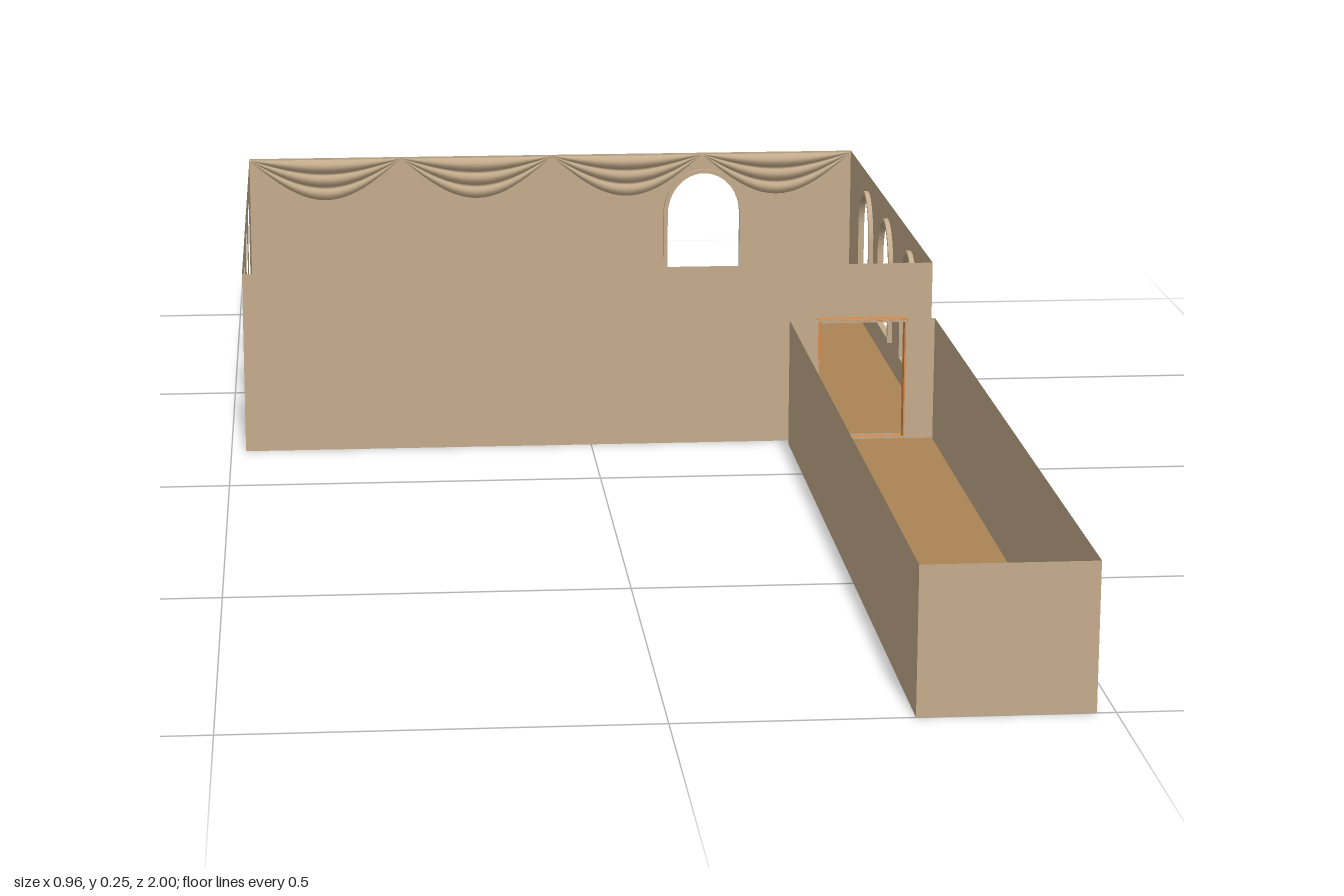
import * as THREE from 'three';
import { ParametricGeometry } from 'three/addons/geometries/ParametricGeometry.js';

const mat = (name, color) => {
  const m = new THREE.MeshStandardMaterial({ color, side: THREE.DoubleSide });
  m.name = name;
  return m;
};

export function createModel() {
  const group = new THREE.Group();
  const plaster = mat('sandPlaster', 0xc4ac8c);
  const wood = mat('brownFloor', 0xaa8454);
  const trim = mat('orangeTrim', 0xd48a4c);

  const add = (name, geometry, material, parent = group) => {
    const m = new THREE.Mesh(geometry, material);
    m.name = name;
    parent.add(m);
    return m;
  };

  // Arched outline centred on cx
  const trace = (path, cx, w, bottom, top) => {
    const h = w / 2, spring = top - h * 1.15;
    path.moveTo(cx - h, bottom);
    path.lineTo(cx + h, bottom);
    path.lineTo(cx + h, spring);
    path.absellipse(cx, spring, h, top - spring, 0, Math.PI, false);
    path.lineTo(cx - h, bottom);
    return path;
  };

  // Thin wall sheet from a to b, with holes cut along its length
  const wall = (name, a, b, y0, y1, holes = []) => {
    const s = new THREE.Shape();
    s.moveTo(a, y0); s.lineTo(b, y0); s.lineTo(b, y1); s.lineTo(a, y1); s.closePath();
    s.holes.push(...holes);
    return add(name, new THREE.ShapeGeometry(s, 12), plaster);
  };
  const alongX = (m, z) => { m.position.z = z; };
  const alongZ = (m, x) => { m.rotation.y = -Math.PI / 2; m.position.x = x; };

  const arch = (c, w = 0.106) => trace(new THREE.Path(), c, w, 0.056, 0.22);
  const door = () => {
    const p = new THREE.Path();
    p.moveTo(0.317, 0.008); p.lineTo(0.438, 0.008);
    p.lineTo(0.438, 0.172); p.lineTo(0.317, 0.172); p.closePath();
    return p;
  };

  // Main room
  const L = -0.48, R = 0.476, B = -0.998, F = -0.174, H = 0.252;
  const windows = [-0.366, -0.592, -0.798];
  alongZ(wall('roomLeftWall', B, F, 0.008, H, windows.map(z => arch(z))), R);
  alongZ(wall('roomRightWall', B, F, 0.008, H, windows.map(z => arch(z))), L);
  alongX(wall('roomBackWall', L, R, 0.008, H, [arch(0.24, 0.115)]), B);
  alongX(wall('roomFrontWall', L, R, 0, H, [door()]), F);

  const slab = new THREE.BoxGeometry(R - L, 0.008, F - B);
  const floor = add('roomFloor', slab, [trim, trim, wood, wood, plaster, trim]);
  floor.position.set((L + R) / 2, 0.004, (B + F) / 2);

  // Window surrounds
  const surround = (c, w) => {
    const s = trace(new THREE.Shape(), c, w + 0.014, 0.05, 0.226);
    s.holes.push(arch(c, w));
    return new THREE.ExtrudeGeometry(s, { depth: 0.009, bevelEnabled: false, curveSegments: 12 });
  };
  for (const z of windows) {
    const f = add('windowSurround', surround(z, 0.106), plaster);
    f.rotation.y = -Math.PI / 2;
    f.position.x = R + 0.002;
  }
  add('backWindowSurround', surround(0.24, 0.115), plaster).position.z = B - 0.002;

  // Draped swags along the top of the back wall
  const swags = new THREE.Group();
  swags.name = 'swags';
  group.add(swags);
  const count = 4, span = (R - L) / count;
  for (let i = 0; i < count; i++) {
    const drape = new ParametricGeometry((u, v, p) => {
      const sag = Math.sin(Math.PI * u);
      const fold = 0.3 + 0.7 * Math.abs(Math.sin(3 * Math.PI * v));
      p.set(L + span * (i + u), H - 0.002 - v * 0.065 * sag, B + 0.002 + 0.008 * sag * fold);
    }, 20, 18);
    add('swag', drape, plaster, swags);
  }

  // Corridor
  const cL = 0.275, cR = 0.478, cB = -0.157, cF = 1, cH = 0.177;
  alongZ(wall('corridorLeftWall', cB, cF, 0, cH), cR);
  alongZ(wall('corridorRightWall', cB, cF, 0, cH), cL);
  alongX(wall('corridorFrontWall', cL, cR, 0, cH), cF);
  alongX(wall('corridorBackWall', cL, cR, 0, cH, [door()]), cB);
  const cFloor = add('corridorFloor', new THREE.BoxGeometry(cR - cL - 0.002, 0.004, cF - cB - 0.002), wood);
  cFloor.position.set((cL + cR) / 2, 0.003, (cF + cB) / 2);

  // Door frame bridging the two spaces
  const frame = new THREE.Group();
  frame.name = 'doorFrame';
  group.add(frame);
  const depth = cB - F, zc = (cB + F) / 2;
  for (const x of [0.317, 0.438]) {
    add('doorJamb', new THREE.BoxGeometry(0.004, 0.176, depth), trim, frame).position.set(x, 0.088, zc);
  }
  for (const y of [0.004, 0.174]) {
    add(y < 0.1 ? 'threshold' : 'lintel', new THREE.BoxGeometry(0.117, 0.004, depth), trim, frame)
      .position.set(0.3775, y, zc);
  }
  return group;
}
